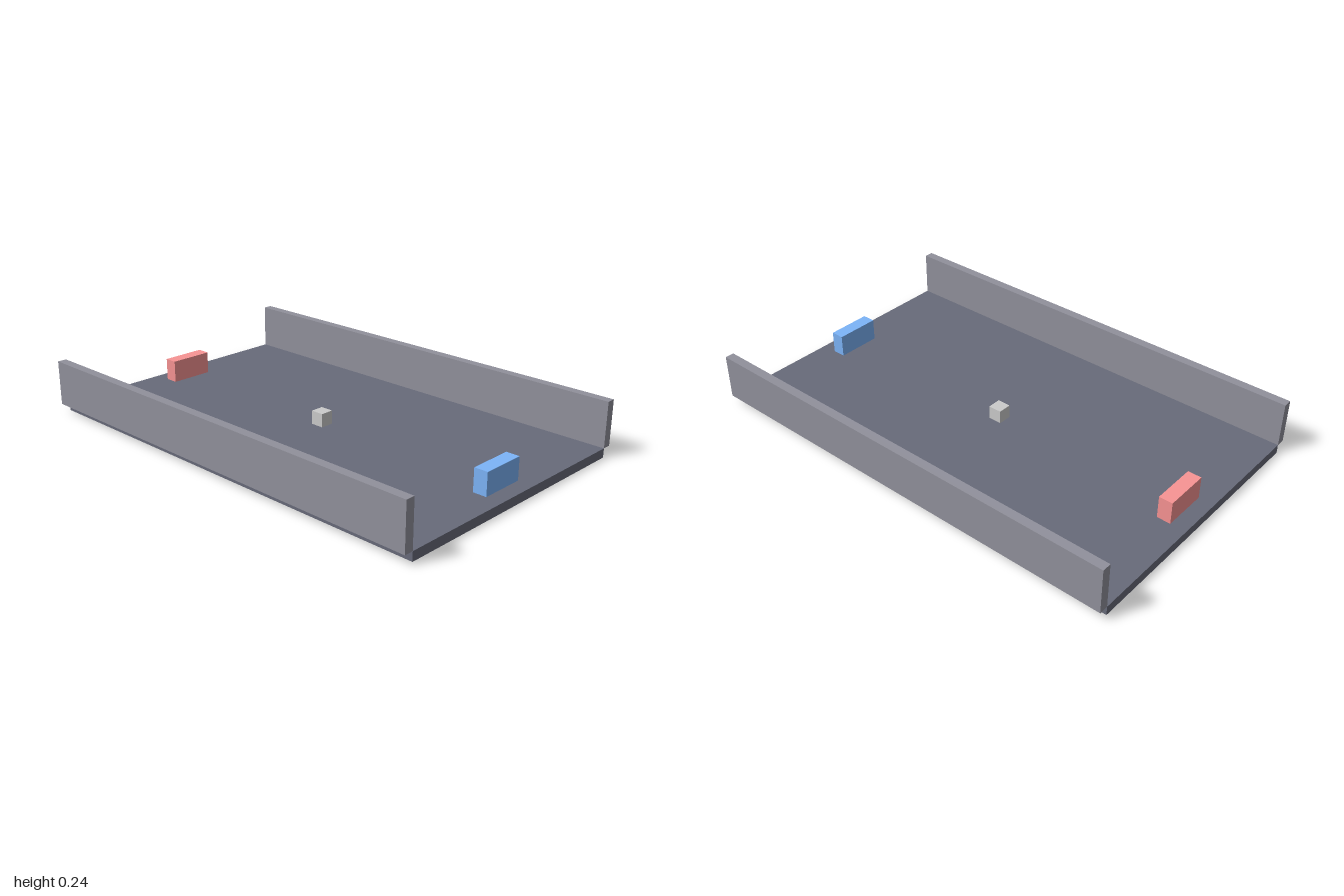
import * as THREE from 'three';

const FLOOR_TOP = 0.04;

// Box whose underside sits at height y
function addBox(group, name, [w, h, d], [x, y, z], color) {
  const mesh = new THREE.Mesh(
    new THREE.BoxGeometry(w, h, d),
    new THREE.MeshStandardMaterial({ color })
  );
  mesh.name = name;
  mesh.position.set(x, y + h / 2, z);
  group.add(mesh);
}

export function createModel() {
  const model = new THREE.Group();
  model.name = 'paddleGameTable';

  // Playing surface
  addBox(model, 'floor', [1.2, FLOOR_TOP, 2], [0, 0, 0], 0x686b7a);

  // Side walls, just outside the floor and starting at its top
  for (const [name, side] of [['leftWall', 1], ['rightWall', -1]]) {
    addBox(model, name, [0.04, 0.2, 2], [side * 0.62, FLOOR_TOP, 0], 0x91919c);
  }

  // One paddle at each open end
  addBox(model, 'frontPaddle', [0.2, 0.1, 0.06], [0, FLOOR_TOP, 0.9], 0x7cb4f8);
  addBox(model, 'backPaddle', [0.2, 0.1, 0.06], [0, FLOOR_TOP, -0.9], 0xf89494);

  // Square ball in the middle
  addBox(model, 'ball', [0.06, 0.06, 0.06], [0, FLOOR_TOP, 0], 0xc6c6c6);

  return model;
}
